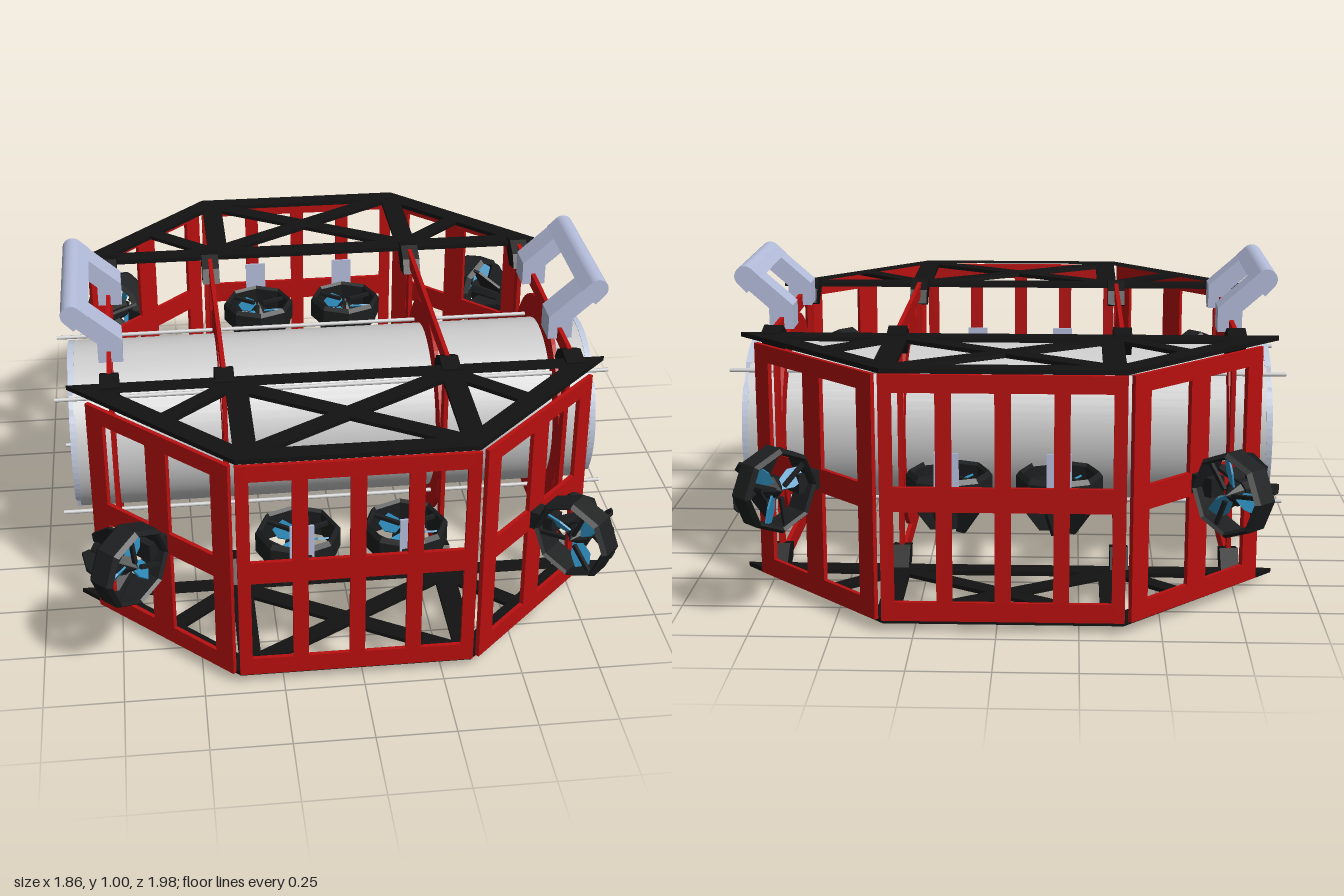
import * as THREE from 'three';

const mat = (color, side = THREE.FrontSide, flatShading = false) =>
  new THREE.MeshStandardMaterial({ color, side, flatShading });
const RED = mat(0xb80f0f), BLACK = mat(0x121212), PALE = mat(0xb4bddb), GREY = mat(0xcccccc);
const CAP = mat(0xc0c9dd);
const DARK = mat(0x1c1e1f, THREE.DoubleSide, true), BLUE = mat(0x2f8fbf, THREE.DoubleSide);
const CY = 0.42; // height of the hull axis

function add(parent, name, geo, material, x = 0, y = 0, z = 0) {
  const m = new THREE.Mesh(geo, material);
  m.name = name;
  m.position.set(x, y, z);
  parent.add(m);
  return m;
}
const box = (w, h, d) => new THREE.BoxGeometry(w, h, d);
const poly = (pts, T = THREE.Shape) => new T(pts.map(p => new THREE.Vector2(...p)));
const extrude = (shape, depth, curveSegments = 24) =>
  new THREE.ExtrudeGeometry(shape, { depth, bevelEnabled: false, curveSegments }).translate(0, 0, -depth / 2);
const rect = (x0, y0, x1, y1, T) => poly([[x0, y0], [x1, y0], [x1, y1], [x0, y1]], T);

// Flat red panel with a two-row grid of windows
function gridPanel(w, cols, side, bar) {
  const h = 0.765, s = rect(-w / 2, -h / 2, w / 2, h / 2);
  const cw = (w - 2 * side - (cols - 1) * bar) / cols;
  for (let i = 0; i < cols; i++) {
    const x = -w / 2 + side + i * (cw + bar);
    s.holes.push(rect(x, 0.038, x + cw, h / 2 - 0.055, THREE.Path));
    s.holes.push(rect(x, -h / 2 + 0.06, x + cw, -0.038, THREE.Path));
  }
  return extrude(s, 0.014);
}

// Square bulkhead with a round bore and four open corners, facing x
function bulkheadGeometry() {
  const s = rect(-0.41, -0.42, 0.41, 0.41);
  const bore = new THREE.Path();
  bore.absarc(0, 0, 0.283, 0, Math.PI * 2, true);
  s.holes.push(bore);
  const a = 0.36, r = 0.368, t = Math.acos(a / r);
  for (let k = 0; k < 4; k++) {
    const pts = [];
    for (let i = 0; i <= 10; i++) {
      const u = t + (Math.PI / 2 - 2 * t) * i / 10;
      pts.push([r * Math.cos(u), r * Math.sin(u)]);
    }
    pts.push([a, a]);
    const q = k * Math.PI / 2, c = Math.cos(q), n = Math.sin(q);
    s.holes.push(poly(pts.map(([x, y]) => [x * c - y * n, x * n + y * c]), THREE.Path));
  }
  return extrude(s, 0.014, 48).rotateY(Math.PI / 2);
}

// Ducted thruster: mouth towards +y, vanes tapering to the tail
function thruster(dir, x, y, z) {
  const g = new THREE.Group();
  g.name = 'thruster';
  const duct = [[0.118, -0.045], [0.133, -0.03], [0.133, 0.035], [0.122, 0.05], [0.114, 0.04], [0.118, -0.045]];
  add(g, 'duct', new THREE.LatheGeometry(duct.map(p => new THREE.Vector2(...p)), 8), DARK);
  add(g, 'motor', new THREE.CylinderGeometry(0.042, 0.036, 0.12, 10), DARK, 0, -0.07);
  add(g, 'noseCone', new THREE.ConeGeometry(0.036, 0.05, 10), DARK, 0, 0.015);
  const vane = extrude(poly([[0.03, -0.05], [0.125, -0.035], [0.12, -0.06], [0.06, -0.14], [0.03, -0.14]]), 0.01);
  for (let i = 0; i < 5; i++)
    add(g, 'tailVane', vane, DARK).rotation.y = i * Math.PI * 2 / 5;
  const strut = box(0.1, 0.012, 0.012).translate(0.07, 0.03, 0);
  const blade = extrude(poly([[0.02, -0.014], [0.07, -0.034], [0.108, -0.025], [0.108, 0.02], [0.06, 0.026], [0.02, 0.014]]), 0.006);
  blade.rotateX(Math.PI / 2 - 0.6);
  for (let i = 0; i < 3; i++) {
    add(g, 'mouthStrut', strut, DARK).rotation.y = i * Math.PI * 2 / 3 + 0.4;
    add(g, 'propellerBlade', blade, BLUE).rotation.y = i * Math.PI * 2 / 3;
  }
  g.quaternion.setFromUnitVectors(new THREE.Vector3(0, 1, 0), dir.normalize());
  g.position.set(x, y, z);
  return g;
}

// Flat bar between two points in plan
function planBeam(parent, name, x0, z0, x1, z1, w, y) {
  const m = add(parent, name, box(Math.hypot(x1 - x0, z1 - z0), 0.013, w), BLACK, (x0 + x1) / 2, y, (z0 + z1) / 2);
  m.rotation.y = Math.atan2(z0 - z1, x1 - x0);
}

// Trapezoid truss plate lying flat; s picks the front or back side
function trussPlate(s, y) {
  const g = new THREE.Group();
  g.name = 'trussPlate';
  const flip = pts => pts.map(([x, z]) => [x, -s * z]);
  const shape = poly(flip([[-0.88, 0.445], [0.84, 0.445], [0.345, 0.945], [-0.385, 0.945]]));
  shape.holes.push(poly(flip([[-0.724, 0.51], [0.684, 0.51], [0.313, 0.885], [-0.353, 0.885]]), THREE.Path));
  add(g, 'trussRim', extrude(shape, 0.015).rotateX(-Math.PI / 2), BLACK, 0, y);
  for (const x of [-0.35, 0.335]) planBeam(g, 'trussPost', x, s * 0.5, x, s * 0.9, 0.07, y);
  planBeam(g, 'crossBrace', -0.35, s * 0.5, 0.31, s * 0.9, 0.06, y);
  planBeam(g, 'crossBrace', -0.35, s * 0.9, 0.31, s * 0.5, 0.06, y);
  planBeam(g, 'endBrace', -0.37, s * 0.49, -0.61, s * 0.7, 0.055, y);
  planBeam(g, 'endBrace', 0.335, s * 0.49, 0.57, s * 0.7, 0.055, y);
  return g;
}

// Grab handle: two cranked posts and a rounded crossbar; e is the hull end
function handle(e) {
  const g = new THREE.Group();
  g.name = 'grabHandle';
  const post = poly([[0.70, 0.79], [0.78, 0.79], [0.78, 0.86], [0.87, 0.94], [0.83, 0.985], [0.70, 0.87]].map(([x, y]) => [e * x, y]));
  for (const z of [-0.205, 0.205]) add(g, 'handlePost', extrude(post, 0.1), PALE, 0, 0, z);
  const bar = new THREE.Shape();
  bar.absarc(0, 0, 0.034, -Math.PI / 4, Math.PI * 3 / 4);
  bar.lineTo(-0.055, -0.005);
  bar.lineTo(-0.005, -0.055);
  const m = add(g, 'handleBar', extrude(bar, 0.52), PALE, e * 0.857, 0.966, 0);
  if (e < 0) m.rotation.y = Math.PI;
  return g;
}

export function createModel() {
  const root = new THREE.Group();
  root.name = 'underwaterVehicle';

  // Pressure hull, end plates and tie rods
  add(root, 'hull', new THREE.CylinderGeometry(0.285, 0.285, 1.74, 64).rotateZ(Math.PI / 2), GREY, -0.005, CY);
  const plate = [];
  for (let i = 0; i < 72; i++) {
    const u = i / 72 * Math.PI * 2, notch = Math.abs(((u + Math.PI / 4) % (Math.PI / 2)) - 0) ;
    const nearRod = Math.min(notch, Math.PI / 2 - notch) < 0.13;
    const r = nearRod ? 0.27 : 0.287;
    plate.push([r * Math.cos(u), r * Math.sin(u)]);
  }
  const plateGeo = extrude(poly(plate), 0.02).rotateY(Math.PI / 2);
  for (const x of [-0.88, 0.87]) add(root, 'endPlate', plateGeo, CAP, x, CY);
  for (const y of [-0.22, 0.22]) for (const z of [-0.22, 0.22])
    add(root, 'tieRod', new THREE.CylinderGeometry(0.007, 0.007, 1.86, 8).rotateZ(Math.PI / 2), GREY, -0.005, CY + y, z);

  // Bulkheads with wedge brackets at each corner
  const bulkhead = bulkheadGeometry();
  const wedge = [[0.33, 0.345], [0.41, 0.325], [0.485, 0.38], [0.485, 0.405], [0.42, 0.418], [0.36, 0.39]];
  for (const x of [-0.745, -0.383, 0.337, 0.738]) {
    add(root, 'bulkhead', bulkhead, RED, x, CY);
    for (const sz of [-1, 1]) for (const sy of [-1, 1]) {
      const s = poly(wedge.map(([z, y]) => [-sz * z, sy * y]));
      add(root, 'cornerBracket', extrude(s, 0.06).rotateY(Math.PI / 2), BLACK, x, CY);
    }
  }

  for (const e of [-1, 1]) root.add(handle(e));

  // Front and back side cages
  const centrePanel = gridPanel(0.735, 4, 0.04, 0.048), anglePanel = gridPanel(0.585, 2, 0.07, 0.085);
  for (const s of [-1, 1]) {
    const cage = new THREE.Group();
    cage.name = s > 0 ? 'frontCage' : 'backCage';
    root.add(cage);
    for (const y of [0.033, 0.812]) cage.add(trussPlate(s, y));
    add(cage, 'centrePanel', centrePanel, RED, -0.02, 0.422, s * 0.953);

    // Angled panels, each carrying a thruster along its outer face
    for (const e of [-1, 1]) {
      const px = -0.02 + e * 0.59, pz = s * 0.74;
      add(cage, 'angledPanel', anglePanel, RED, px, 0.422, pz).rotation.y = e * s * Math.PI / 4;
      const tx = -0.018 + e * 0.693;
      cage.add(thruster(new THREE.Vector3(-e, 0, s), tx, 0.425, s * 0.87));
      add(cage, 'thrusterMount', box(0.06, 0.06, 0.08), DARK, px + e * 0.03, 0.425, pz + s * 0.035)
        .rotation.y = e * s * Math.PI / 4;
    }

    // Upright thrusters hung behind the centre panel
    for (const x of [-0.187, 0.15]) {
      cage.add(thruster(new THREE.Vector3(0, 1, 0), x, 0.415, s * 0.785));
      add(cage, 'thrusterMount', box(0.06, 0.06, 0.05), DARK, x, 0.42, s * 0.925);
      add(cage, 'mountPlate', box(0.075, 0.16, 0.008), PALE, x, 0.475, s * 0.915);
    }
  }
  return root;
}
